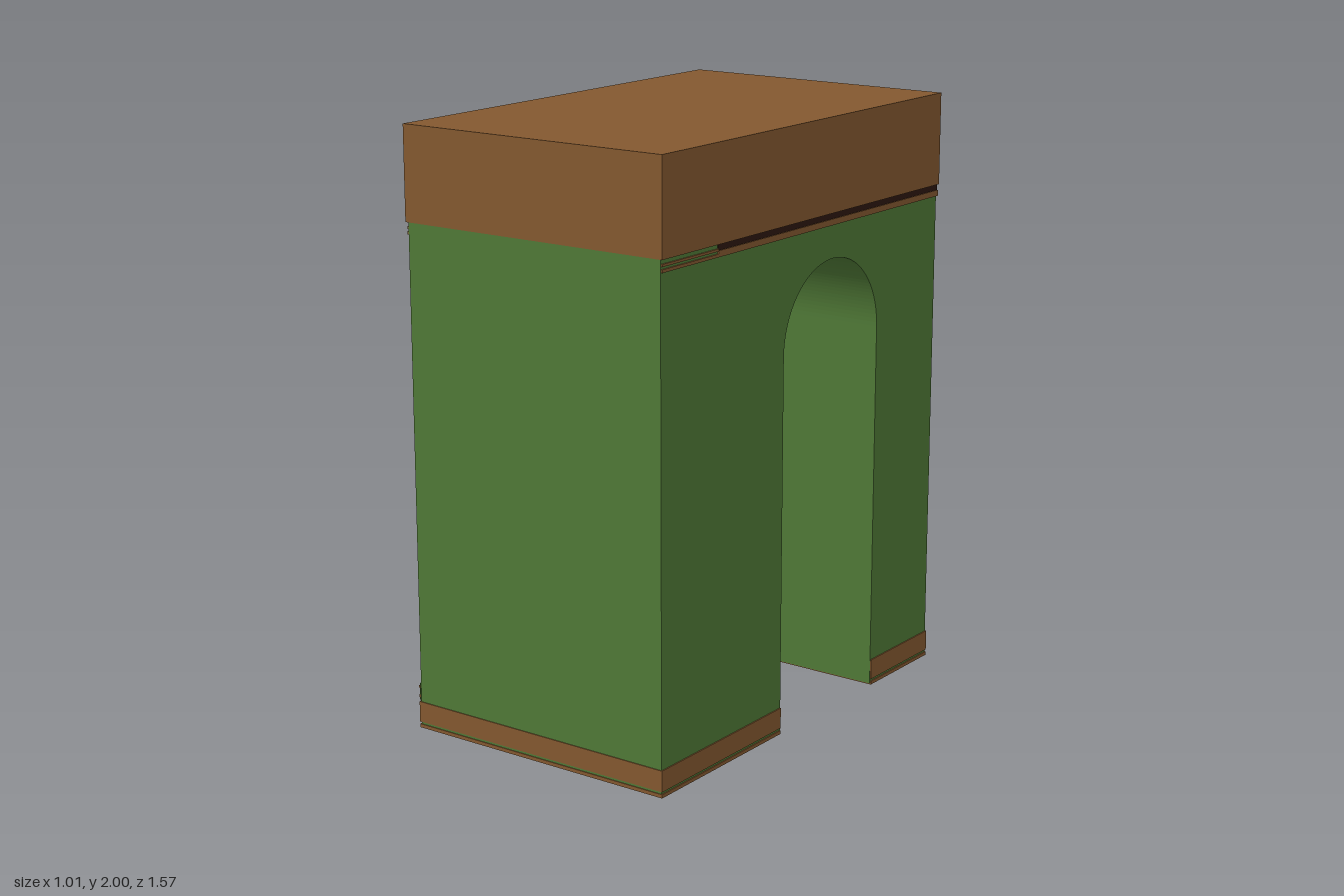
import * as THREE from 'three';

const mat = (color) => new THREE.MeshStandardMaterial({ color, roughness: 0.9 });
const GREEN = mat(0x4f7836), BROWN = mat(0x83582f), DARK = mat(0x2c1710);
const GREY = mat(0xb4b4b4), GOLD = mat(0xb8963f), BRONZE = mat(0x7a6234);

// Profiles are drawn in (u, y), where u = -z, and extruded along x
const MID = 0.143, HALF = 0.275, SPRING = 1.265;
const FRONT = -0.785, BACK = 0.785, WALL = -0.49;

function add(group, name, geometry, material) {
  const mesh = new THREE.Mesh(geometry, material);
  mesh.name = name;
  group.add(mesh);
  return mesh;
}

// Box given by its limits on each axis
function box(group, name, material, [x0, x1], [y0, y1], [z0, z1]) {
  const mesh = add(group, name, new THREE.BoxGeometry(x1 - x0, y1 - y0, z1 - z0), material);
  mesh.position.set((x0 + x1) / 2, (y0 + y1) / 2, (z0 + z1) / 2);
  return mesh;
}

function extrudeX(group, name, material, shape, x0, x1) {
  const geo = new THREE.ExtrudeGeometry(shape, { depth: x1 - x0, bevelEnabled: false, curveSegments: 32 });
  geo.rotateY(Math.PI / 2);
  geo.translate(x0, 0, 0);
  return add(group, name, geo, material);
}

// Arch line from the left foot over the top to the right foot
function arch(path, r, foot) {
  path.lineTo(MID - r, foot);
  path.lineTo(MID - r, SPRING);
  path.absarc(MID, SPRING, r, Math.PI, 0, true);
  path.lineTo(MID + r, foot);
}

// Moulding that follows the arch and runs out along the base to both corners
function mouldingShape(inner, outer, low, high) {
  const s = new THREE.Shape();
  s.moveTo(FRONT, low);
  arch(s, inner, low);
  s.lineTo(BACK, low);
  s.lineTo(BACK, high);
  s.lineTo(MID + outer, high);
  s.lineTo(MID + outer, SPRING);
  s.absarc(MID, SPRING, outer, 0, Math.PI, false);
  s.lineTo(MID - outer, high);
  s.lineTo(FRONT, high);
  s.closePath();
  return s;
}

export function createModel() {
  const model = new THREE.Group();
  model.name = 'archedDoorway';

  // Wall block with the arched passage cut through it
  const walls = new THREE.Shape();
  walls.moveTo(FRONT + 0.003, 0.004);
  arch(walls, HALF, 0.004);
  walls.lineTo(BACK - 0.003, 0.004);
  walls.lineTo(BACK - 0.003, 1.7);
  walls.lineTo(FRONT + 0.003, 1.7);
  walls.closePath();
  extrudeX(model, 'walls', GREEN, walls, WALL, 0.492);

  // Skirting on both sides of the passage, with a thin shadow gap near the floor
  const sides = [[-0.785, -MID - HALF - 0.002], [-MID + HALF + 0.002, 0.785]];
  for (const z of sides) {
    box(model, 'skirting', BROWN, [-0.496, 0.496], [0.02, 0.09], z);
    box(model, 'skirtingFoot', BROWN, [-0.496, 0.496], [0, 0.012], z);
  }

  // Top fascia with the stepped cornice below it
  box(model, 'fascia', BROWN, [-0.5, 0.5], [1.69, 2], [-0.787, 0.785]);
  box(model, 'corniceShadow', DARK, [-0.494, 0.494], [1.67, 1.692], [-0.784, 0.495]);
  box(model, 'corniceStrip', BROWN, [-0.497, 0.497], [1.65, 1.67], [-0.786, 0.495]);
  for (const x of [[-0.497, -0.48], [0.48, 0.497]]) {
    box(model, 'corniceEnd', BROWN, x, [1.65, 1.66], [0.495, 0.78]);
    box(model, 'corniceEnd', BROWN, x, [1.668, 1.676], [0.495, 0.78]);
  }

  // Arch surround: green band edged with two brown lines
  extrudeX(model, 'surround', GREEN, mouldingShape(HALF + 0.005, HALF + 0.065, 0.095, 0.155), WALL - 0.003, WALL);
  extrudeX(model, 'surroundLine', BROWN, mouldingShape(HALF + 0.015, HALF + 0.025, 0.105, 0.115), WALL - 0.006, WALL);
  extrudeX(model, 'surroundLine', BROWN, mouldingShape(HALF + 0.047, HALF + 0.057, 0.137, 0.147), WALL - 0.006, WALL);

  // Double door leaves, mirrored about the centre seam
  const gap = 0.0015;
  for (const s of [-1, 1]) {
    const leaf = new THREE.Shape();
    leaf.moveTo(MID + s * gap, 0.01);
    leaf.lineTo(MID + s * HALF, 0.01);
    leaf.lineTo(MID + s * HALF, SPRING);
    leaf.absarc(MID, SPRING, HALF, s > 0 ? 0 : Math.PI, Math.PI / 2, s < 0);
    leaf.lineTo(MID + s * gap, SPRING + HALF);
    leaf.closePath();
    extrudeX(model, 'doorLeaf', GREY, leaf, -0.483, -0.47);

    // Pull handle bent out from the leaf
    const z = -MID + s * 0.032;
    const pts = [[-0.482, 0.46, 0], [-0.499, 0.49, s * 0.006], [-0.499, 0.79, s * 0.006], [-0.482, 0.82, 0]]
      .map(([x, y, dz]) => new THREE.Vector3(x, y, z - dz));
    const bar = new THREE.CurvePath();
    for (let i = 0; i < 3; i++) bar.add(new THREE.LineCurve3(pts[i], pts[i + 1]));
    add(model, 'handle', new THREE.TubeGeometry(bar, 40, 0.007, 8), BRONZE);
    for (const y of [0.46, 0.82]) {
      const mount = add(model, 'handleMount', new THREE.CylinderGeometry(0.01, 0.01, 0.008, 12), BRONZE);
      mount.rotation.z = Math.PI / 2;
      mount.position.set(-0.485, y, z);
    }
  }
  box(model, 'doorSeam', DARK, [-0.479, -0.474], [0.01, SPRING + HALF - 0.01], [-MID - 0.003, -MID + 0.003]);
  box(model, 'kickStrip', GOLD, [-0.486, -0.467], [0.145, 0.192], [-MID - HALF, -MID + HALF]);

  return model;
}
